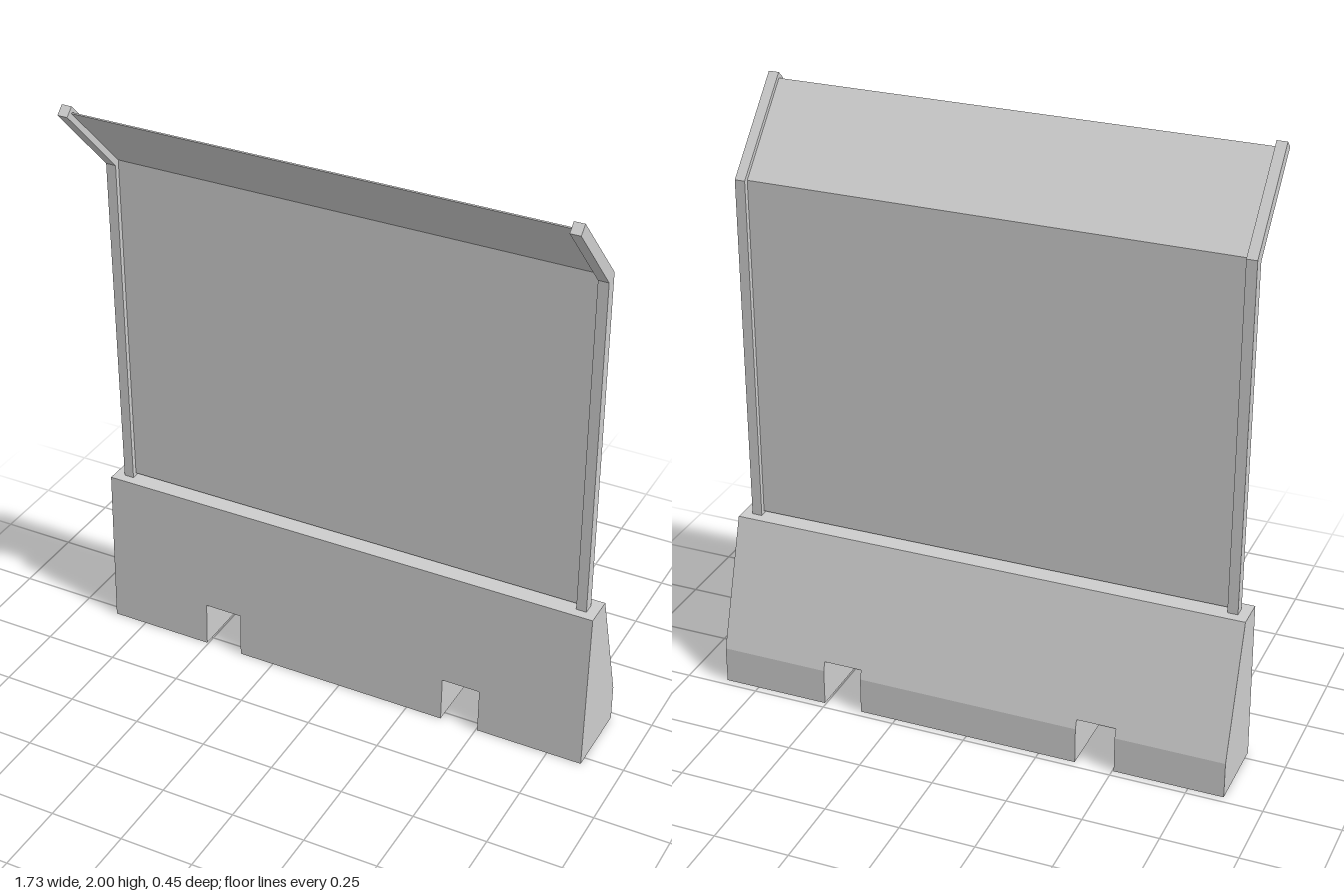
import * as THREE from 'three';

const concrete = new THREE.MeshStandardMaterial({ color: 0xcccccc });
concrete.name = 'light grey';

// Extrudes a side profile of [z, y] points from x0 to x1
function sideExtrude(name, profile, x0, x1) {
  const shape = new THREE.Shape(profile.map(([z, y]) => new THREE.Vector2(z, y)));
  const geometry = new THREE.ExtrudeGeometry(shape, { depth: x1 - x0, bevelEnabled: false });
  geometry.rotateY(-Math.PI / 2).translate(x1, 0, 0);
  const mesh = new THREE.Mesh(geometry, concrete);
  mesh.name = name;
  return mesh;
}

export function createModel() {
  const model = new THREE.Group();
  model.name = 'barrierWithScreen';

  // Barrier base: full-height blocks with two raised spans over the fork slots
  const base = new THREE.Group();
  base.name = 'base';
  const top = 0.557, slotTop = 0.155, kickTop = 0.125;
  const frontZ = (y) => 0.033 - 0.018 * y / top;
  const backZ = (y) => -0.226 + 0.138 * Math.max(0, y - kickTop) / (top - kickTop);
  const block = [[backZ(0), 0], [frontZ(0), 0], [frontZ(top), top], [backZ(top), top], [backZ(0), kickTop]];
  const bridge = [[backZ(slotTop), slotTop], [frontZ(slotTop), slotTop], [frontZ(top), top], [backZ(top), top]];
  base.add(sideExtrude('centreBlock', block, -0.374, 0.374));
  for (const side of [-1, 1]) {
    const span = (a, b) => (side > 0 ? [a, b] : [-b, -a]);
    base.add(sideExtrude('slotBridge', bridge, ...span(0.374, 0.505)));
    base.add(sideExtrude('endBlock', block, ...span(0.505, 0.867)));
  }
  model.add(base);

  // Cranked posts, bent forward at the top
  const post = [[-0.055, 0.55], [-0.017, 0.55], [-0.017, 1.713], [0.226, 1.975], [0.199, 2], [-0.055, 1.73]];
  model.add(sideExtrude('rightPost', post, -0.833, -0.799));
  model.add(sideExtrude('leftPost', post, 0.799, 0.833));

  // Thin screen following the posts
  const screen = [[-0.038, 0.566], [-0.034, 0.566], [-0.034, 1.725], [0.202, 1.978], [0.199, 1.981], [-0.038, 1.727]];
  model.add(sideExtrude('screen', screen, -0.8, 0.8));

  return model;
}
